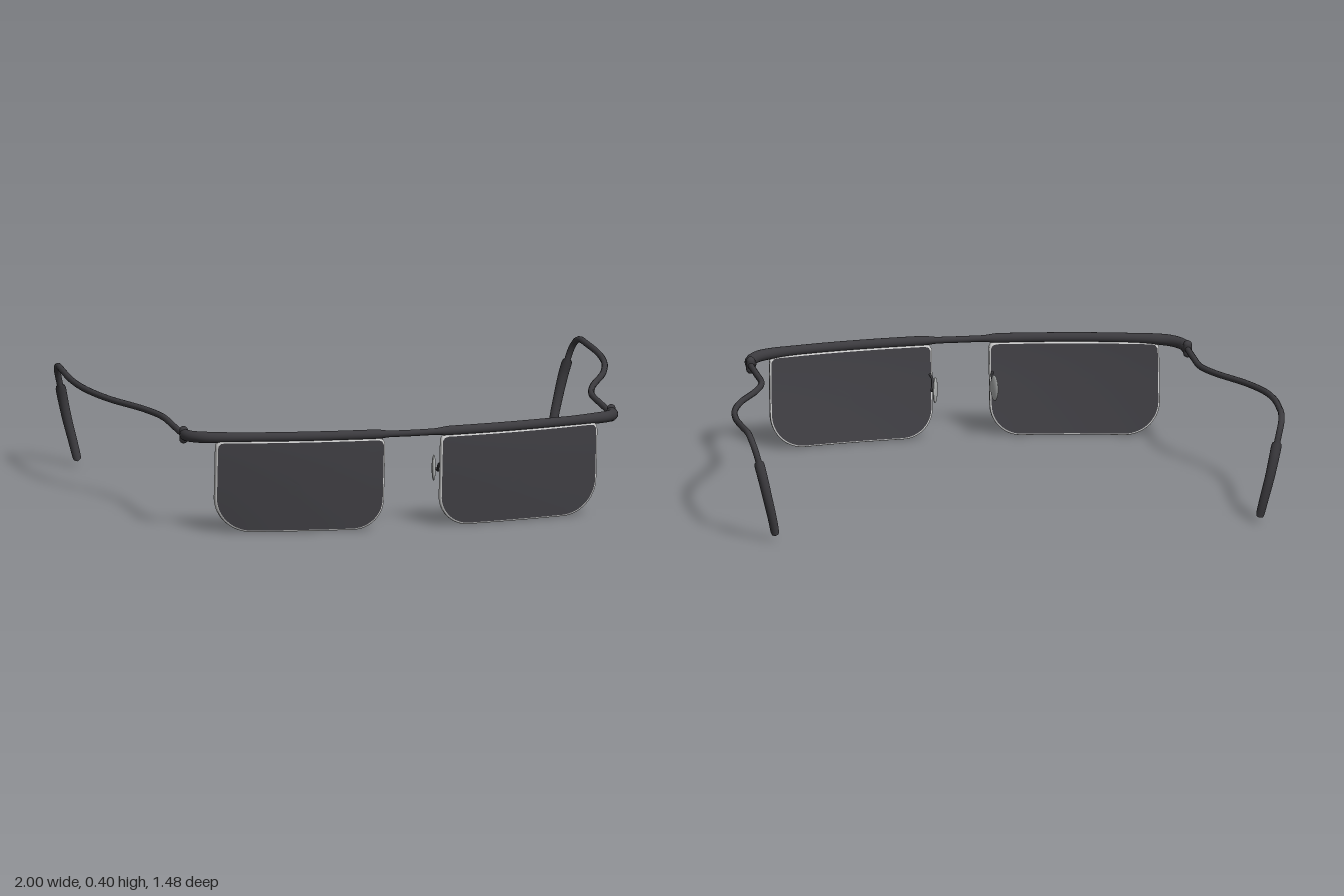
import * as THREE from 'three';

const V = (x, y, z) => new THREE.Vector3(x, y, z);

// Tube along points with a radius that varies over its length; radius 0 closes the ends
function sweep(points, radius, segments = 60, sides = 14) {
  const curve = new THREE.CatmullRomCurve3(points);
  const geo = new THREE.TubeGeometry(curve, segments, 1, sides);
  const pos = geo.attributes.position;
  const v = new THREE.Vector3();
  for (let i = 0; i <= segments; i++) {
    const c = curve.getPointAt(i / segments);
    const r = radius(i / segments, c);
    for (let j = 0; j <= sides; j++) {
      const k = i * (sides + 1) + j;
      v.fromBufferAttribute(pos, k).sub(c).multiplyScalar(r).add(c);
      pos.setXYZ(k, v.x, v.y, v.z);
    }
  }
  return geo;
}

// Rounds the ends of a sweep off to a point
const roundEnd = (t, k) => Math.sqrt(Math.max(0, 1 - Math.pow(Math.abs(2 * t - 1), k)));

// Lens outline with wide lower corners
const X0 = 0.105, X1 = 0.717, Y0 = 0, Y1 = 0.342;
const CX = (X0 + X1) / 2, CY = (Y0 + Y1) / 2;
function lensOutline() {
  const s = new THREE.Shape();
  const a = 0.11, b = 0.13, c = 0.02;
  s.moveTo(X0 + a, Y0);
  s.lineTo(X1 - b, Y0);
  s.absarc(X1 - b, Y0 + b, b, -Math.PI / 2, 0);
  s.lineTo(X1, Y1 - c);
  s.absarc(X1 - c, Y1 - c, c, 0, Math.PI / 2);
  s.lineTo(X0 + c, Y1);
  s.absarc(X0 + c, Y1 - c, c, Math.PI / 2, Math.PI);
  s.lineTo(X0, Y0 + a);
  s.absarc(X0 + a, Y0 + a, a, Math.PI, Math.PI * 1.5);
  return s.getSpacedPoints(120).slice(0, -1);
}

// Wrap around the face and lean back toward the bottom
const browZ = (x) => 0.721 - 0.185 * x * x;
const bend = (x, y) => browZ(x) - 0.032 * Math.pow(Math.max(0, (Y1 - y) / Y1), 1.3);

// Surface through scaled copies of the outline; each ring is [inset, depth]
function lensRings(outline, rings) {
  const n = outline.length, pos = [], idx = [];
  const hw = (X1 - X0) / 2, hh = (Y1 - Y0) / 2;
  for (const [inset, depth] of rings) {
    for (const p of outline) {
      const x = CX + (p.x - CX) * (1 - inset / hw);
      const y = CY + (p.y - CY) * (1 - inset * (inset > 0.01 ? 1 / hw : 1 / hh));
      pos.push(x, y, bend(x, y) + depth);
    }
  }
  for (let r = 0; r < rings.length - 1; r++) {
    for (let i = 0; i < n; i++) {
      const j = (i + 1) % n, a = r * n, b = a + n;
      idx.push(a + i, a + j, b + j, a + i, b + j, b + i);
    }
  }
  const geo = new THREE.BufferGeometry();
  geo.setAttribute('position', new THREE.Float32BufferAttribute(pos, 3));
  geo.setIndex(idx);
  geo.computeVertexNormals();
  return geo;
}

function mirrored(geo) {
  const g = geo.clone().scale(-1, 1, 1);
  const idx = g.index.array;
  for (let i = 0; i < idx.length; i += 3) [idx[i], idx[i + 1]] = [idx[i + 1], idx[i]];
  return g;
}

export function createModel() {
  const model = new THREE.Group();
  model.name = 'glasses';
  const mat = (name, color) => {
    const m = new THREE.MeshStandardMaterial({ color });
    m.name = name;
    return m;
  };
  const frameMat = mat('dark frame', 0x3b3a3e);
  const lensMat = mat('smoked lens', 0x424146);
  const rimMat = mat('pale lens edge', 0xcfcfcf);
  const padMat = mat('clear grey pad', 0xb4b6b6);

  const add = (name, geo, material) => {
    const mesh = new THREE.Mesh(geo, material);
    mesh.name = name;
    model.add(mesh);
  };
  const addPair = (name, geo, material) => {
    add(name + 'Left', geo, material);
    add(name + 'Right', mirrored(geo), material);
  };

  // Brow bar, slimmer at the bridge and turning back at the corners
  const half = [V(0.15, 0.356, browZ(0.15)), V(0.35, 0.356, browZ(0.35)), V(0.55, 0.356, browZ(0.55)),
    V(0.69, 0.355, 0.63), V(0.76, 0.353, 0.597), V(0.795, 0.35, 0.55), V(0.803, 0.347, 0.495)];
  const bar = [...half.map((p) => V(-p.x, p.y, p.z)).reverse(), V(0, 0.355, browZ(0)), ...half];
  add('browBar', sweep(bar, (t, c) => {
    const ax = Math.abs(c.x);
    const r = 0.012 + 0.006 * THREE.MathUtils.smoothstep(ax, 0.08, 0.14)
      + 0.003 * THREE.MathUtils.smoothstep(ax, 0.6, 0.76);
    return r * roundEnd(t, 200);
  }, 120, 16), frameMat);

  // Lenses: dark front and back faces joined by a rounded pale edge
  const outline = lensOutline();
  const T = 0.014, IN = 0.006;
  const insets = [IN, 0.05, 0.1, 0.15, 0.2, 0.25, (X1 - X0) / 2];
  addPair('lensFront', lensRings(outline, insets.map((s) => [s, T])), lensMat);
  addPair('lensBack', lensRings(outline, insets.map((s) => [s, -T]).reverse()), lensMat);
  const edge = [];
  for (let i = 0; i <= 4; i++) {
    const a = (i / 4) * Math.PI / 2;
    edge.push([IN * (1 - Math.sin(a)), -T + IN * (1 - Math.cos(a))]);
  }
  const edgeRings = [...edge, ...edge.map(([s, d]) => [s, -d]).reverse()];
  addPair('lensEdge', lensRings(outline, edgeRings), rimMat);

  // Hinges
  const hinge = new THREE.CapsuleGeometry(0.016, 0.032, 6, 14);
  hinge.translate(0.804, 0.346, 0.5);
  addPair('hinge', hinge, frameMat);

  // Temples, bowing outward and hooking down behind the ears
  const temple = [V(0.804, 0.345, 0.5), V(0.804, 0.35, 0.35), V(0.808, 0.356, 0.2), V(0.843, 0.361, 0.08),
    V(0.93, 0.368, -0.107), V(0.975, 0.375, -0.26), V(0.99, 0.381, -0.4), V(0.986, 0.387, -0.55),
    V(0.98, 0.388, -0.64), V(0.974, 0.37, -0.682), V(0.963, 0.335, -0.704), V(0.95, 0.285, -0.715)];
  addPair('temple', sweep(temple, (t) => 0.0115 * roundEnd(t, 300), 110, 12), frameMat);

  // Ear tip sleeves
  const tip = [V(0.955, 0.305, -0.71), V(0.941, 0.245, -0.722), V(0.924, 0.17, -0.725),
    V(0.905, 0.09, -0.717), V(0.89, 0.017, -0.702)];
  addPair('earTip', sweep(tip, (t) => (0.0195 - 0.004 * t) * roundEnd(t, 24), 40, 14), frameMat);

  // Nose pads and the wires that carry them
  const pad = new THREE.SphereGeometry(1, 20, 14);
  pad.scale(0.007, 0.048, 0.027);
  pad.rotateY(-0.38);
  pad.translate(0.109, 0.198, 0.605);
  addPair('nosePad', pad, padMat);
  const wire = [V(0.116, 0.235, 0.702), V(0.11, 0.225, 0.675), V(0.113, 0.198, 0.65),
    V(0.12, 0.192, 0.62), V(0.113, 0.198, 0.604)];
  addPair('padWire', sweep(wire, (t) => 0.0045 * roundEnd(t, 60), 24, 8), frameMat);

  return model;
}
